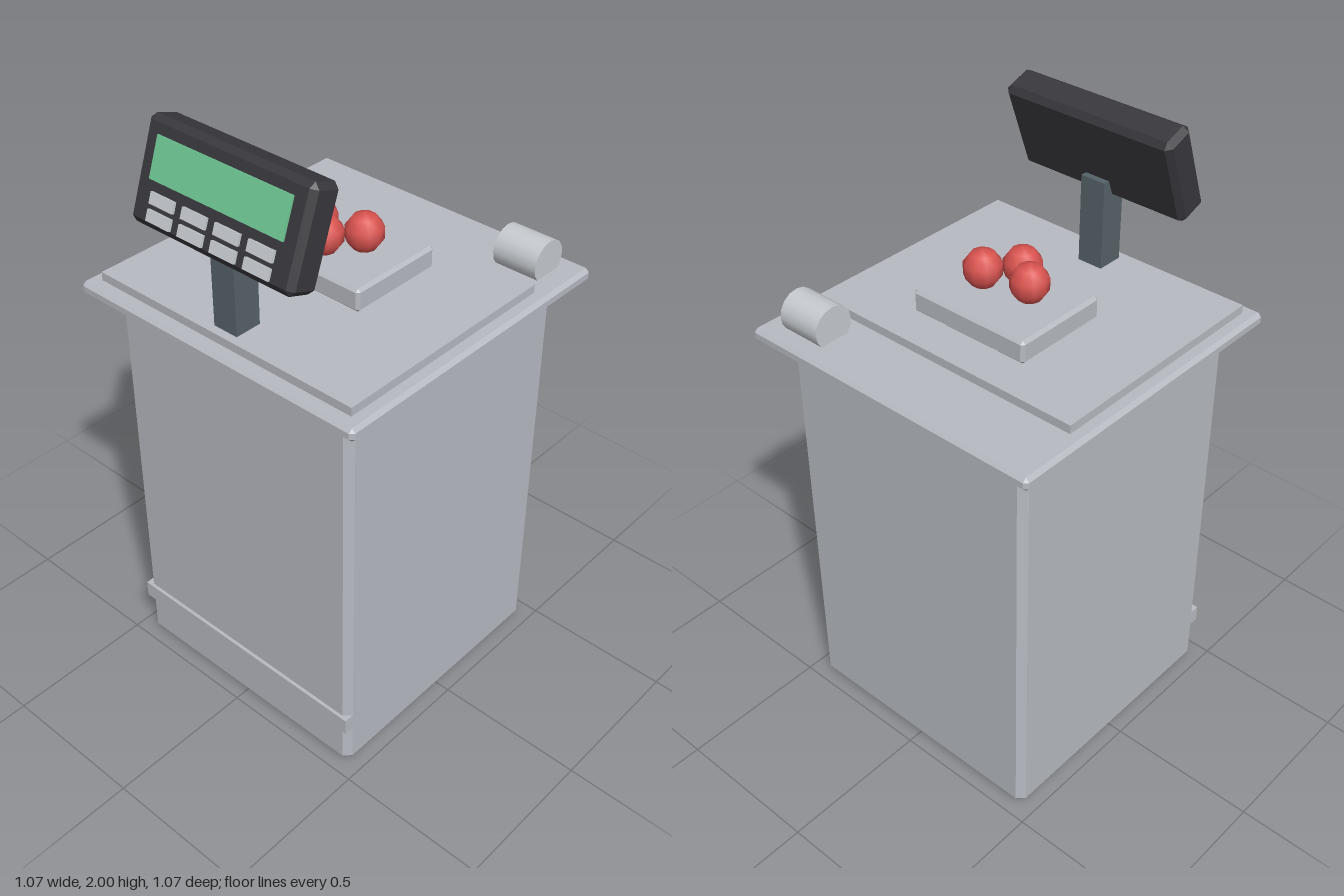
import * as THREE from 'three';
import { ConvexGeometry } from 'three/addons/geometries/ConvexGeometry.js';

const mat = (name, color) => {
  const m = new THREE.MeshStandardMaterial({ color });
  m.name = name;
  return m;
};

// Box with flat 45 degree chamfers of size b on every edge
function chamferBox(w, h, d, b) {
  const pts = [];
  for (const x of [-1, 1]) for (const y of [-1, 1]) for (const z of [-1, 1]) {
    const X = x * w / 2, Y = y * h / 2, Z = z * d / 2;
    pts.push(
      new THREE.Vector3(X, Y - y * b, Z - z * b),
      new THREE.Vector3(X - x * b, Y, Z - z * b),
      new THREE.Vector3(X - x * b, Y - y * b, Z));
  }
  return new ConvexGeometry(pts);
}

export function createModel() {
  const model = new THREE.Group();
  model.name = 'checkoutScale';
  const grey = mat('cabinetGrey', 0xb7bac1);
  const silver = mat('silver', 0xc6cacf);
  const steel = mat('postSteel', 0x566268);
  const black = mat('housingBlack', 0x38373c);
  const green = mat('screenGreen', 0x70c795);
  const red = mat('fruitRed', 0xd9534f);

  const add = (name, geometry, material, x, y, z, parent = model) => {
    const mesh = new THREE.Mesh(geometry, material);
    mesh.name = name;
    mesh.position.set(x, y, z);
    parent.add(mesh);
    return mesh;
  };
  const box = (w, h, d) => new THREE.BoxGeometry(w, h, d);

  // Cabinet, worktop and weighing surface
  add('cabinet', chamferBox(0.916, 1.386, 0.916, 0.023), grey, 0, 0.693, 0);
  add('kickBar', box(0.916, 0.058, 0.04), grey, 0, 0.184, 0.449);
  add('worktop', chamferBox(1.07, 0.044, 1.07, 0.012), grey, 0, 1.408, 0);
  add('topPlate', box(0.98, 0.04, 0.796), grey, 0, 1.438, 0.09);
  add('weighingTray', chamferBox(0.428, 0.076, 0.335, 0.01), grey, 0, 1.495, -0.017);

  // Paper roll lying along x
  const roll = add('paperRoll', new THREE.CylinderGeometry(0.068, 0.068, 0.152, 16), silver, 0.382, 1.474, -0.418);
  roll.rotation.z = Math.PI / 2;

  // Fruit on the tray
  const fruit = new THREE.SphereGeometry(0.062, 10, 5);
  for (const [x, z] of [[-0.079, -0.003], [0.076, -0.032], [0, 0.057]])
    add('fruit', fruit, red, x, 1.592, z);

  // Post and tilted display
  add('post', box(0.088, 0.3, 0.09), steel, 0, 1.598, 0.415);
  const display = new THREE.Group();
  display.name = 'display';
  display.position.set(0, 1.845, 0.415);
  display.rotation.x = -THREE.MathUtils.degToRad(20);
  model.add(display);
  add('displayHousing', chamferBox(0.612, 0.305, 0.11, 0.018), black, 0, 0, 0, display);
  add('screen', box(0.496, 0.122, 0.012), green, 0, 0.043, 0.056, display);

  // Two rows of four keys
  for (const y of [-0.065, -0.114])
    for (let i = 0; i < 4; i++)
      add('key', box(0.092, 0.034, 0.014), silver, (i - 1.5) * 0.123, y, 0.057, display);

  return model;
}
